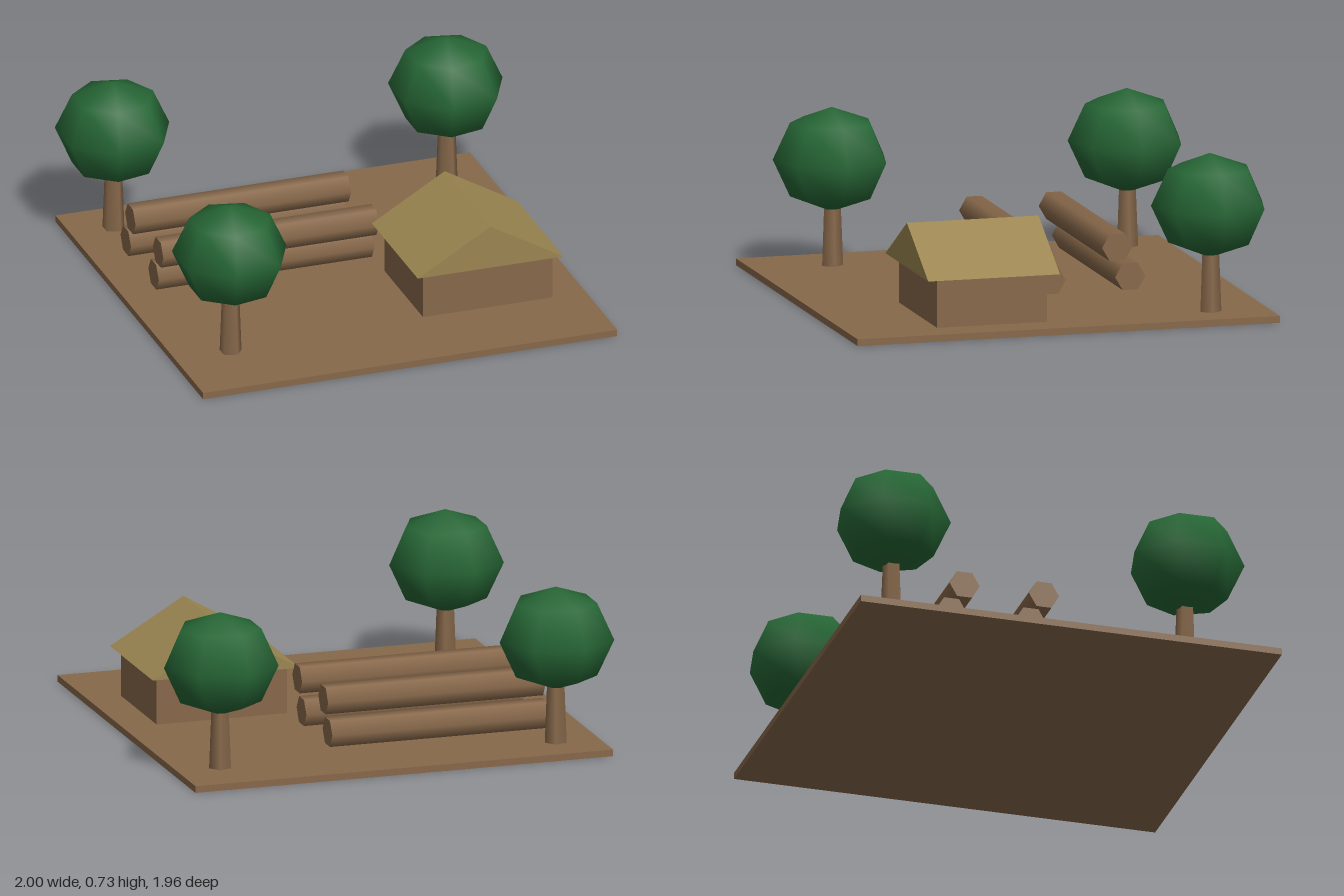
import * as THREE from 'three';

export function createModel() {
  const group = new THREE.Group();
  group.name = 'loggingCamp';

  const mat = (name, color) => {
    const m = new THREE.MeshStandardMaterial({ color });
    m.name = name;
    return m;
  };
  const wood = mat('brown wood', 0x87684a);
  const thatch = mat('straw roof', 0x9b8651);
  const leaves = mat('dark green leaves', 0x266635);

  const add = (parent, name, geometry, material, x = 0, y = 0, z = 0) => {
    const mesh = new THREE.Mesh(geometry, material);
    mesh.name = name;
    mesh.position.set(x, y, z);
    parent.add(mesh);
    return mesh;
  };

  const GROUND = 0.03;

  // Square ground slab
  add(group, 'ground', new THREE.BoxGeometry(1.905, GROUND, 1.905), wood, -0.013, GROUND / 2, 0.023);

  // Trees: tapered five-sided trunk and a squashed seven-sided crown
  const trunkGeo = new THREE.CylinderGeometry(0.039, 0.05, 0.28, 5).rotateY(Math.PI / 2);
  const crownGeo = new THREE.SphereGeometry(0.256, 7, 4).rotateY(Math.PI).scale(1, 0.9, 1);
  for (const [x, z] of [[-0.77, -0.73], [0.742, -0.67], [-0.711, 0.617]]) {
    const tree = new THREE.Group();
    tree.name = 'tree';
    tree.position.set(x, 0, z);
    add(tree, 'trunk', trunkGeo, wood, 0, GROUND + 0.14, 0);
    add(tree, 'crown', crownGeo, leaves, 0, 0.497, 0);
    group.add(tree);
  }

  // Two pairs of hexagonal logs lying along x
  const logGeo = new THREE.CylinderGeometry(0.068, 0.068, 0.992, 6).rotateZ(Math.PI / 2);
  const logs = new THREE.Group();
  logs.name = 'logPile';
  for (const z of [-0.053, -0.412]) {
    add(logs, 'upperLog', logGeo, wood, -0.31, 0.22, z);
    add(logs, 'lowerLog', logGeo, wood, -0.31, 0.088, z - 0.059);
  }
  group.add(logs);

  // Cabin: box walls under an overhanging gable roof
  const cabin = new THREE.Group();
  cabin.name = 'cabin';
  cabin.position.set(0.483, 0, 0.325);
  add(cabin, 'walls', new THREE.BoxGeometry(0.595, 0.215, 0.496), wood, 0.004, GROUND + 0.1075, 0);
  const gable = new THREE.Shape();
  gable.moveTo(-0.335, 0);
  gable.lineTo(0.335, 0);
  gable.lineTo(0, 0.197);
  gable.closePath();
  const roofGeo = new THREE.ExtrudeGeometry(gable, { depth: 0.594, bevelEnabled: false });
  add(cabin, 'roof', roofGeo, thatch, 0, 0.243, -0.297);
  group.add(cabin);

  return group;
}
